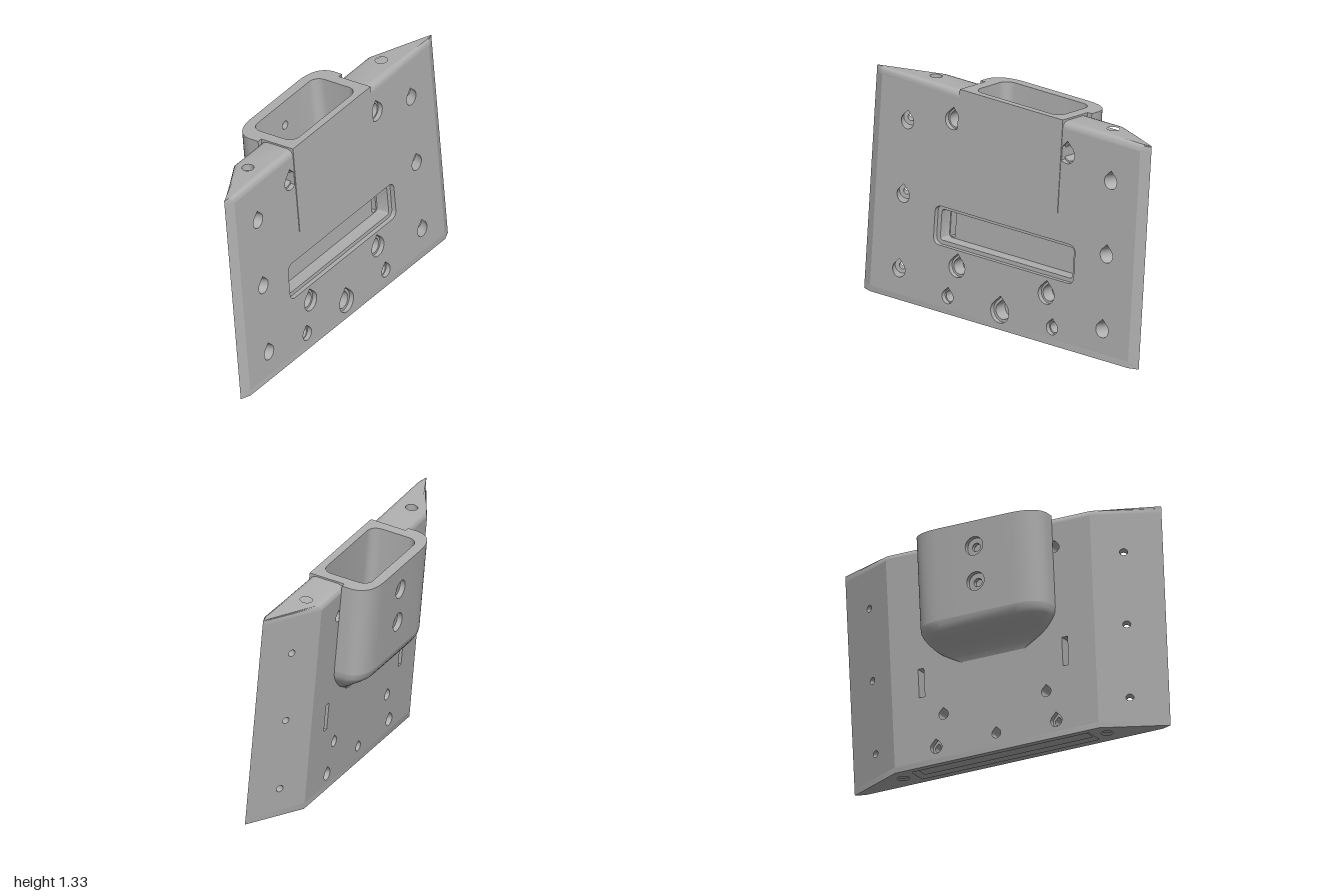
import * as THREE from 'three';
import { toCreasedNormals } from 'three/addons/utils/BufferGeometryUtils.js';

const T = 0.215, BOTTOM = 0.035, RIM = 1.27, TOP = 1.31, FLOOR = 0.775, LIP = 1.32;

// front and back faces of the plate as functions of x
const frontZ = x => T - Math.max(0, (Math.abs(x) - 0.94) / 0.06) * 0.025;
const backZ = x => Math.max(0, (Math.abs(x) - 0.645) / 0.355) * 0.19;

const mirror = pts => pts.map(([x, y]) => [-x, y]).reverse();
const rect = (x0, x1, y0, y1) => [[x0, y0], [x1, y0], [x1, y1], [x0, y1]];

function arc(cx, cy, r, a0, a1, n) {
  return Array.from({ length: n + 1 }, (_, i) => {
    const a = a0 + (a1 - a0) * i / n;
    return [cx + r * Math.cos(a), cy + r * Math.sin(a)];
  });
}
const circle = (x, y, r) => arc(x, y, r, 0, Math.PI * 2, 24).slice(0, 24);
const teardrop = (x, y, r) =>
  [...arc(x, y, r, Math.PI * 0.75, Math.PI * 2.25, 20), [x, y + r * 1.4]];

function roundRect(x0, x1, y0, y1, r) {
  const q = Math.PI / 2;
  return [[x1 - r, y0 + r, -q], [x1 - r, y1 - r, 0], [x0 + r, y1 - r, q], [x0 + r, y0 + r, 2 * q]]
    .flatMap(([x, y, a]) => arc(x, y, r, a, a + q, 5));
}

function extrude(outline, holes, depth, steps = 1) {
  const toVec = pts => pts.map(p => new THREE.Vector2(p[0], p[1]));
  const shape = new THREE.Shape(toVec(outline));
  shape.holes = holes.map(h => new THREE.Path(toVec(h)));
  return new THREE.ExtrudeGeometry(shape, { depth, steps, bevelEnabled: false });
}

// apply a rule to each vertex, then refresh the normals
function shapeBy(geo, rule) {
  const p = geo.attributes.position, v = new THREE.Vector3();
  for (let i = 0; i < p.count; i++) {
    v.fromBufferAttribute(p, i);
    rule(v);
    p.setXYZ(i, v.x, v.y, v.z);
  }
  geo.computeVertexNormals();
  return toCreasedNormals(geo, 0.6);
}

// xz outline raised from y0 to y1
function raise(outline, holes, y0, y1, steps = 1, rule = () => {}) {
  const flip = pts => pts.map(([x, z]) => [x, -z]);
  const geo = extrude(flip(outline), holes.map(flip), y1 - y0, steps);
  geo.rotateX(-Math.PI / 2).translate(0, y0, 0);
  return shapeBy(geo, rule);
}

// front outline filling the plate thickness between fractions t0 and t1
function layer(outline, holes, t0, t1) {
  return shapeBy(extrude(outline, holes, 1), v => {
    const t = v.z > 0.5 ? t1 : t0, ax = Math.abs(v.x);
    // wing screw holes lean square to the sloped back
    if (ax > 0.65 && ax < 0.935) v.x += Math.sign(v.x) * 0.065 * (1 - t);
    v.z = backZ(v.x) + t * (frontZ(v.x) - backZ(v.x));
  });
}

export function createModel() {
  const grey = new THREE.MeshStandardMaterial({ color: 0xb0b0b0 });
  grey.name = 'grey';
  const model = new THREE.Group();
  model.name = 'mountingBracket';
  const body = new THREE.Group();
  body.name = 'tiltedBody';
  body.rotation.x = -5 * Math.PI / 180;
  body.position.z = 0.037;
  model.add(body);
  const add = (name, geo) => {
    const m = new THREE.Mesh(geo, grey);
    m.name = name;
    body.add(m);
    return m;
  };

  // centre panel in stepped layers: [x, y, radius per layer from front to back]
  const screws = [
    [0, 0.104, [0.066, 0.05, 0.028, 0.028]],
    ...[-1, 1].flatMap(s => [
      [s * 0.325, 0.285, [0.058, 0.045, 0.03, 0.03]],
      [s * 0.38, 0.1, [0.04, 0.032, 0.022, 0.036]],
      [s * 0.415, 1.128, [0.055, 0.045, 0.03, 0.03]],
    ]),
  ];
  const centre = [[-0.645, BOTTOM], [0.645, BOTTOM], [0.645, RIM], [0.375, RIM],
    [0.375, FLOOR], [-0.375, FLOOR], [-0.375, RIM], [-0.645, RIM]];
  const slits = [-1, 1].map(s => rect(s * 0.455 - 0.018, s * 0.455 + 0.018, 0.415, 0.585));
  const windows = [
    [roundRect(-0.505, 0.515, 0.385, 0.612, 0.04)],
    [roundRect(-0.478, 0.485, 0.408, 0.588, 0.02)],
    slits, slits,
  ];
  const cuts = [1, 0.87, 0.5, 0.15, 0];
  windows.forEach((win, i) => {
    const holes = screws.map(([x, y, r]) => teardrop(x, y, r[i]).map(([px, py]) =>
      // upper holes stop beside the holster
      [y > 1 ? Math.sign(x) * Math.max(Math.abs(px), 0.38) : px, py]));
    add('centrePanelLayer', layer(centre, [...win, ...holes], cuts[i + 1], cuts[i]));
  });

  // tapered wings with three countersunk holes each
  for (const s of [-1, 1]) {
    const side = (x0, x1) => rect(s * x0, s * x1, BOTTOM, RIM);
    const holes = (r, make) => [0.175, 0.613, 1.045].map(y => make(s * 0.74, y, r));
    add('wingFront', layer(side(0.645, 0.94), holes(0.045, teardrop), 0.5, 1));
    add('wingBack', layer(side(0.645, 0.94), holes(0.02, circle), 0, 0.5));
    add('wingTip', layer(side(0.94, 1), [], 0, 1));

    // rounded top rim with a rod hole
    const half = [[0.375, 0], [0.645, 0], [1, 0.19], [0.94, T], [0.375, T]];
    add('topRim', raise(half.map(([x, z]) => [s * x, z]), [circle(s * 0.645, 0.1, 0.035)],
      RIM, TOP, 6, v => {
        const k = (v.y - RIM) / (TOP - RIM);
        const f = frontZ(v.x), b = backZ(v.x);
        const inset = Math.min(0.04, 0.3 * (f - b)) * (1 - Math.sqrt(Math.max(0, 1 - k * k)));
        if (Math.abs(v.z - f) < 1e-4) v.z -= inset;
        else if (Math.abs(v.z - b) < 1e-4) v.z += inset;
      }));
  }

  // base with a stepped slot and rod holes
  const base = [[-0.645, 0], [0.645, 0], [1, 0.19], [0.94, T], [-0.94, T], [-1, 0.19]];
  const rods = [-1, 1].map(s => circle(s * 0.645, 0.1, 0.035));
  add('baseLower', raise(base, [rect(-0.56, 0.56, 0.04, 0.165), ...rods], 0, 0.015));
  add('baseUpper', raise(base, [rect(-0.53, 0.53, 0.06, 0.145), ...rods], 0.015, BOTTOM));

  // holster: outer curve of one side, from the plate round to the back
  const curve = new THREE.QuadraticBezierCurve(new THREE.Vector2(0.405, -0.06),
    new THREE.Vector2(0.395, -0.168), new THREE.Vector2(0.24, -0.175));
  const outer = [[0.405, 0], ...curve.getPoints(12).map(p => [p.x, p.y])];
  const q = Math.PI / 2;
  const wall = [[0.375, 0.219], [0.375, 0], ...outer, [0.12, -0.175], [0.12, -0.115],
    ...arc(0.25, -0.055, 0.06, -q, 0, 6), ...arc(0.25, 0.115, 0.06, 0, q, 6)];
  add('holsterWall', raise([...wall, ...mirror(wall)], [], FLOOR, LIP));

  // holster back strip with two countersunk holes
  [[0.055, -0.175], [0.025, -0.145]].forEach(([r, z]) => {
    const geo = extrude(rect(-0.12, 0.12, FLOOR, LIP), [0.96, 1.17].map(y => circle(0, y, r)), 0.03);
    add('holsterBackStrip', toCreasedNormals(geo.translate(0, 0, z), 0.6));
  });
  add('holsterFloor', new THREE.BoxGeometry(0.64, 0.01, 0.13)).position.set(0, FLOOR - 0.005, -0.06);

  // rounded underside: [height, depth, half width]
  const loop = [...outer, ...mirror(outer)];
  const rows = [[FLOOR, 0.175, 0.405], [0.745, 0.17, 0.402], [0.72, 0.155, 0.392],
    [0.695, 0.125, 0.375], [0.665, 0.082, 0.35], [0.635, 0.043, 0.315],
    [0.605, 0.015, 0.265], [0.57, 0, 0.2]];
  const verts = rows.flatMap(([y, d, w]) => loop.flatMap(([x, z]) => [x * w / 0.405, y, z * d / 0.175]));
  const index = [], n = loop.length;
  for (let i = 0; i < rows.length - 1; i++) {
    for (let j = 0; j < n - 1; j++) {
      const a = i * n + j, c = a + n;
      index.push(a, c, a + 1, a + 1, c, c + 1);
    }
  }
  const under = new THREE.BufferGeometry();
  under.setAttribute('position', new THREE.Float32BufferAttribute(verts, 3));
  under.setIndex(index);
  under.computeVertexNormals();
  add('holsterUnderside', under);

  return model;
}
